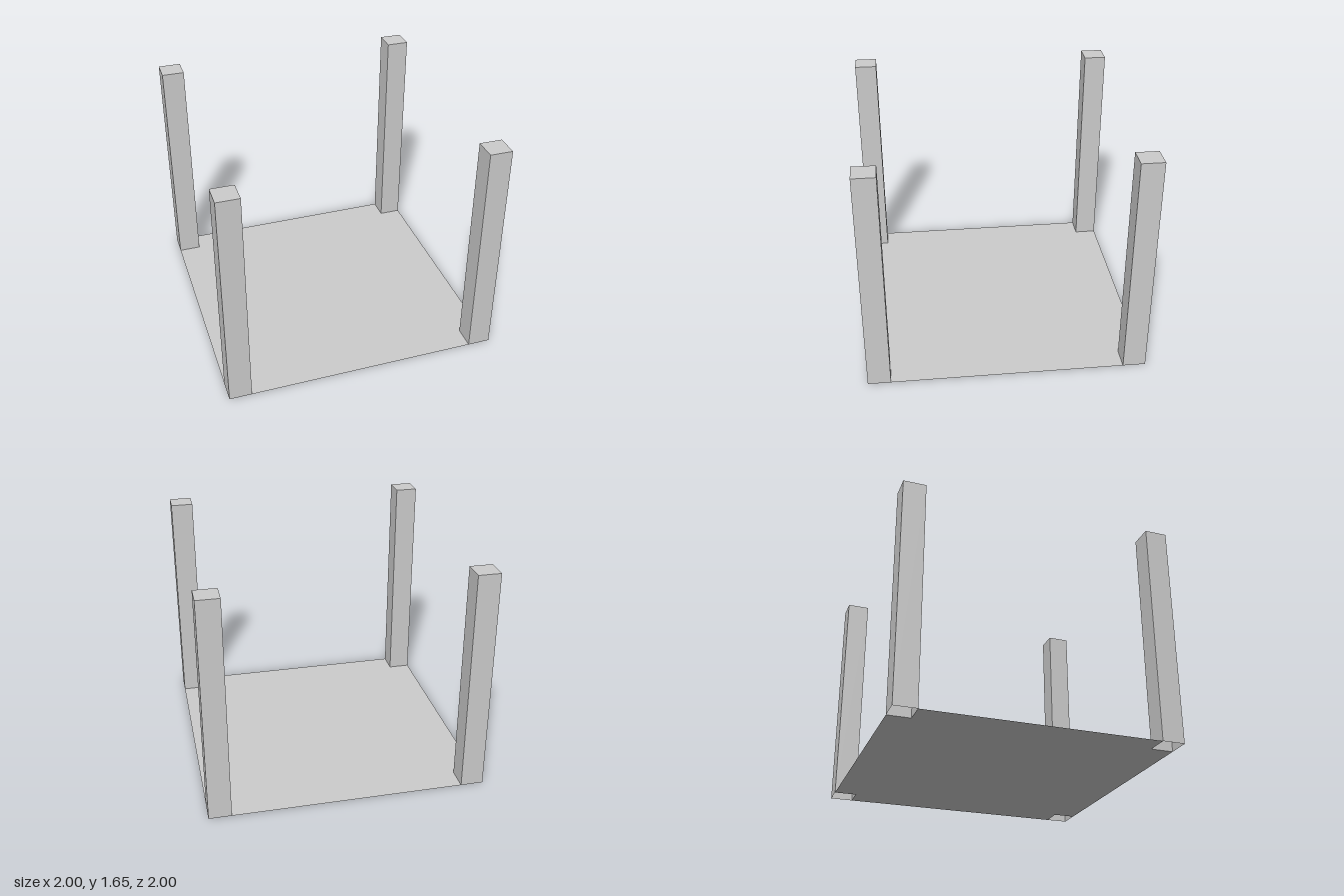
import * as THREE from 'three';

const HALF = 1, POST = 0.163, HEIGHT = 1.65;

export function createModel() {
  const group = new THREE.Group();
  const material = new THREE.MeshStandardMaterial({
    color: 0xcccccc, flatShading: true, side: THREE.DoubleSide,
  });

  // Thin square sheet with a notch at each corner for the posts
  const inner = HALF - POST;
  const outline = new THREE.Shape([
    [-inner, -HALF], [inner, -HALF], [inner, -inner], [HALF, -inner],
    [HALF, inner], [inner, inner], [inner, HALF], [-inner, HALF],
    [-inner, inner], [-HALF, inner], [-HALF, -inner], [-inner, -inner],
  ].map(([x, y]) => new THREE.Vector2(x, y)));
  const panel = new THREE.Mesh(new THREE.ShapeGeometry(outline).rotateX(-Math.PI / 2), material);
  panel.name = 'basePanel';
  group.add(panel);

  // Square hollow post: a box without its bottom face
  const postGeometry = new THREE.BoxGeometry(POST, HEIGHT, POST);
  const faces = Array.from(postGeometry.index.array);
  faces.splice(18, 6);
  postGeometry.setIndex(faces);
  postGeometry.clearGroups();

  // One post in each corner
  const offset = HALF - POST / 2;
  for (const [x, side] of [[1, 'Left'], [-1, 'Right']]) {
    for (const [z, end] of [[1, 'front'], [-1, 'back']]) {
      const post = new THREE.Mesh(postGeometry, material);
      post.position.set(x * offset, HEIGHT / 2, z * offset);
      post.name = `${end}${side}Post`;
      group.add(post);
    }
  }
  return group;
}
